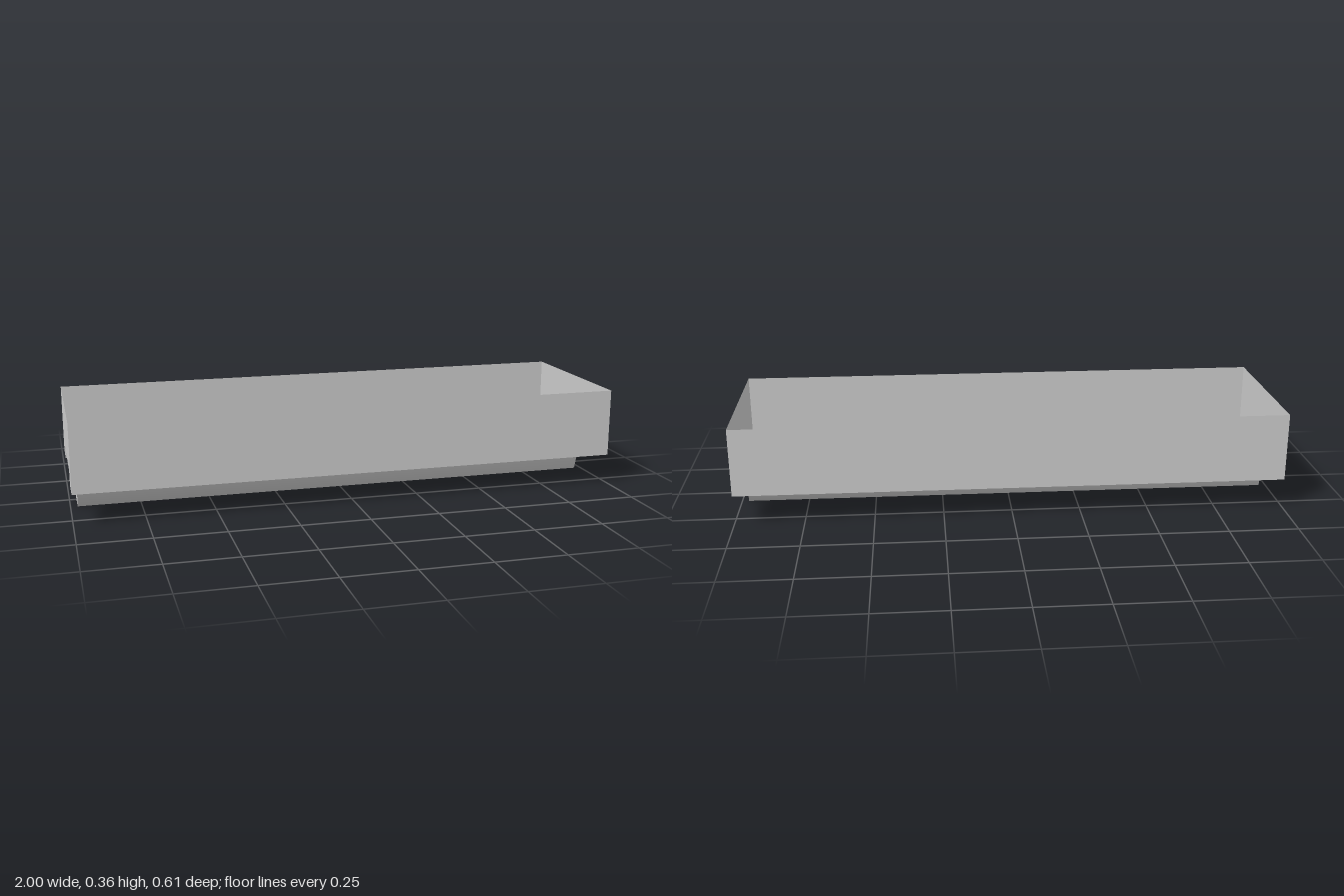
import * as THREE from 'three';

const material = new THREE.MeshStandardMaterial({ color: 0xcccccc, side: THREE.DoubleSide });

// Thin sheet: a [z, y] profile swept along x from -half to +half
function sweep(profile, half, smooth) {
  const points = [];
  const index = [];
  profile.forEach(([z, y], i) => {
    points.push(half, y, z, -half, y, z);
    if (i < profile.length - 1) {
      const a = 2 * i;
      index.push(a, a + 1, a + 2, a + 2, a + 1, a + 3);
    }
  });
  let geometry = new THREE.BufferGeometry();
  geometry.setAttribute('position', new THREE.Float32BufferAttribute(points, 3));
  geometry.setIndex(index);
  if (!smooth) geometry = geometry.toNonIndexed();
  geometry.computeVertexNormals();
  return geometry;
}

// Flat end plate cut to the [z, y] outline, facing outward along x
function endPlate(outline, x) {
  const shape = new THREE.Shape(outline.map(([z, y]) => new THREE.Vector2(z, y)));
  const geometry = new THREE.ShapeGeometry(shape);
  // The outlines are symmetric in z, so either turn gives the same plate
  geometry.rotateY(Math.sign(x) * Math.PI / 2);
  geometry.translate(x, 0, 0);
  return geometry;
}

export function createModel() {
  const model = new THREE.Group();
  const add = (parent, name, geometry) => {
    const mesh = new THREE.Mesh(geometry, material);
    mesh.name = name;
    parent.add(mesh);
  };

  // Open-topped housing: side walls, lower flanges and raised centre channel
  const housing = new THREE.Group();
  housing.name = 'housing';
  const housingProfile = [
    [0.305, 0.36], [0.305, 0.11], [0.183, 0.11], [0.183, 0.16],
    [-0.183, 0.16], [-0.183, 0.11], [-0.305, 0.11], [-0.305, 0.36],
  ];
  add(housing, 'housingShell', sweep(housingProfile, 1, false));

  // Tapered lens hanging in the channel, with a slightly bowed top
  const lens = new THREE.Group();
  lens.name = 'lens';
  const lensSides = [[0.138, 0.162], [0.087, 0], [-0.087, 0], [-0.138, 0.162]];
  const lensTop = [[-0.138, 0.162], [-0.08, 0.1645], [0.08, 0.1645], [0.138, 0.162]];
  add(lens, 'lensDiffuser', sweep(lensSides, 0.975, true));
  add(lens, 'lensTop', sweep(lensTop, 0.975, false));

  // End plates of both parts
  for (const [side, name] of [[1, 'left'], [-1, 'right']]) {
    add(housing, name + 'HousingEnd', endPlate(housingProfile, side));
    add(lens, name + 'LensEnd', endPlate([...lensSides, ...lensTop.slice(1, 3)], side * 0.975));
  }

  model.add(housing, lens);
  return model;
}
